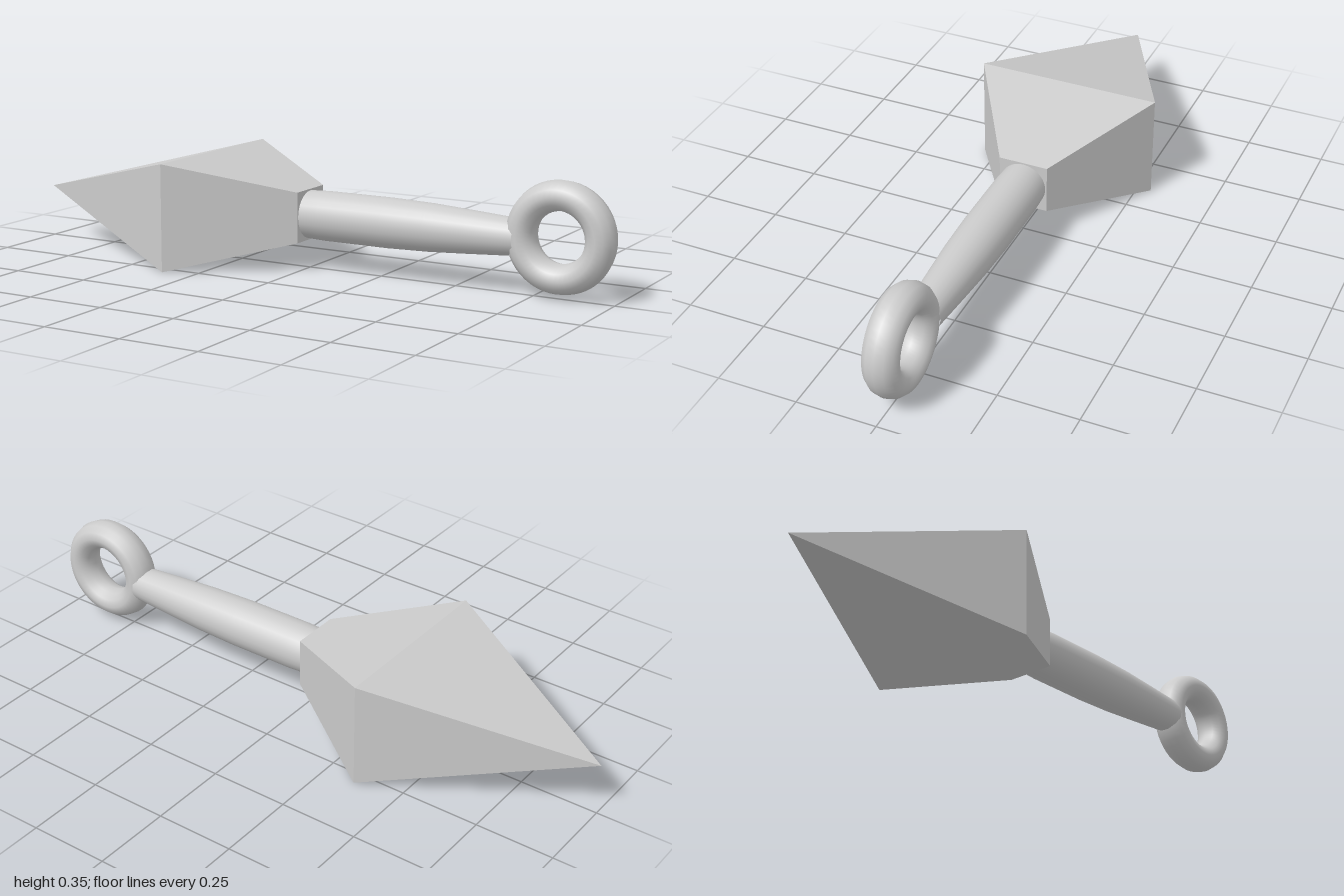
import * as THREE from 'three';

const AXIS_Y = 0.168;

// Four-sided blade lofted through rectangular sections [x, halfHeight, halfDepth]
function bladeGeometry() {
  const sections = [[-1, 0, 0], [-0.355, 0.168, 0.295], [0, 0.079, 0.079]];
  const signs = [[1, 1], [1, -1], [-1, -1], [-1, 1]];
  const corner = (i, k) => {
    const [x, h, d] = sections[i];
    const [sy, sz] = signs[k % 4];
    return [x, sy * h, sz * d];
  };
  const pos = [];
  const tri = (...corners) => corners.forEach((p) => pos.push(...p));
  for (let i = 0; i < 2; i++) {
    for (let k = 0; k < 4; k++) {
      const a = corner(i, k), b = corner(i, k + 1);
      const c = corner(i + 1, k + 1), d = corner(i + 1, k);
      tri(a, d, c);
      if (i > 0) tri(a, c, b);
    }
  }
  // rear cap
  tri(corner(2, 0), corner(2, 2), corner(2, 1));
  tri(corner(2, 0), corner(2, 3), corner(2, 2));
  const geo = new THREE.BufferGeometry();
  geo.setAttribute('position', new THREE.Float32BufferAttribute(pos, 3));
  geo.computeVertexNormals();
  return geo;
}

export function createModel() {
  const group = new THREE.Group();
  const smooth = new THREE.MeshStandardMaterial({ color: 0xcccccc });
  const faceted = new THREE.MeshStandardMaterial({ color: 0xcccccc, flatShading: true });

  const add = (name, geo, mat, x, y) => {
    const mesh = new THREE.Mesh(geo, mat);
    mesh.name = name;
    mesh.position.set(x, y, 0);
    group.add(mesh);
    return mesh;
  };

  add('blade', bladeGeometry(), faceted, 0, AXIS_Y);

  // Gently tapering round grip, laid along x
  const profile = [[0.074, -0.005], [0.077, 0.06], [0.077, 0.28], [0.073, 0.42], [0.065, 0.55], [0.055, 0.7]]
    .map(([r, x]) => new THREE.Vector2(r, x));
  const grip = new THREE.LatheGeometry(profile, 24);
  grip.rotateZ(-Math.PI / 2);
  add('handle', grip, smooth, 0, AXIS_Y);

  // Pommel ring with a slightly widened tube
  const ring = add('ring', new THREE.TorusGeometry(0.1225, 0.0455, 12, 48), smooth, 0.832, 0.181);
  ring.scale.z = 1.2;

  return group;
}
